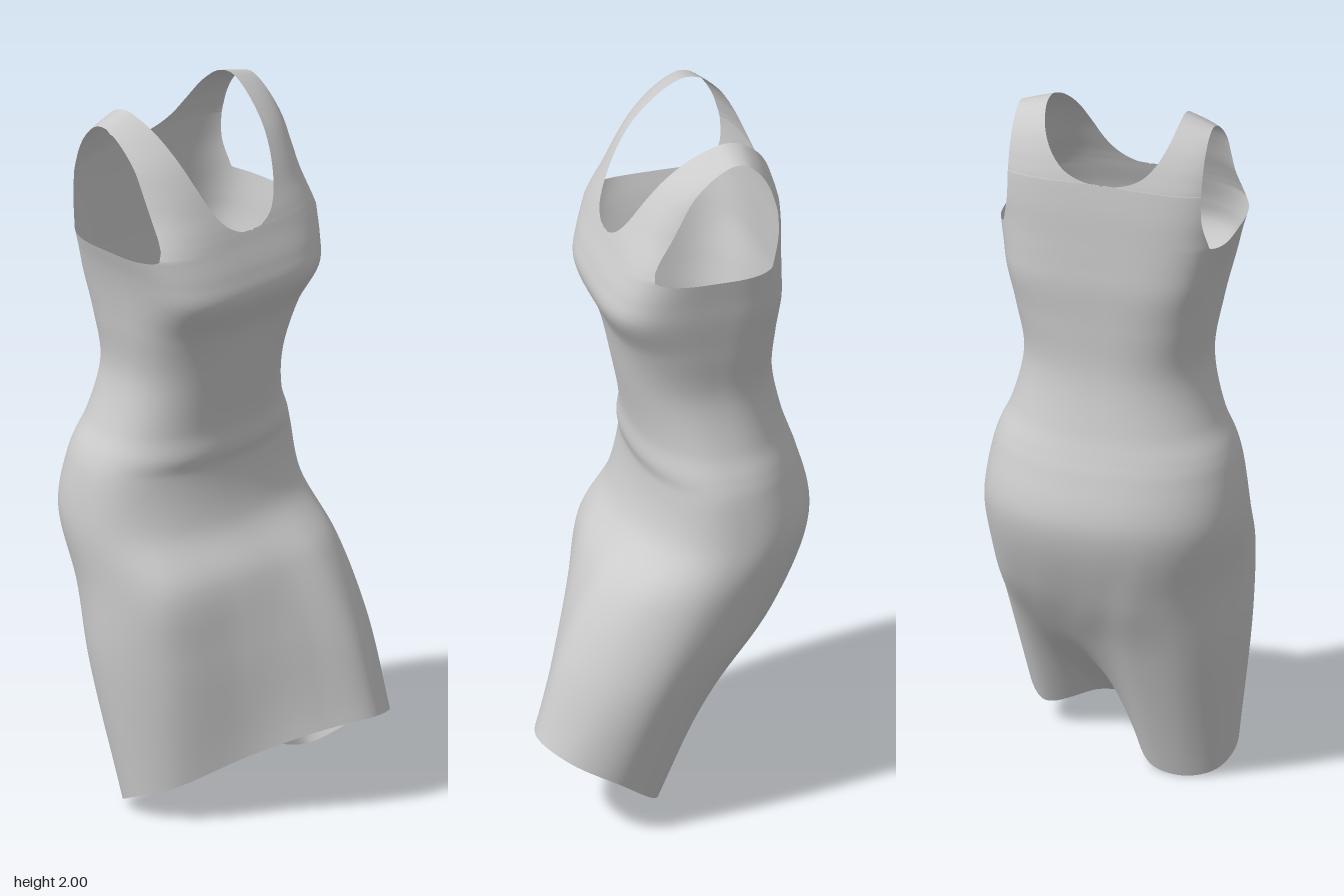
import * as THREE from 'three';
import { mergeGeometries, mergeVertices } from 'three/addons/utils/BufferGeometryUtils.js';

const AROUND = 192, DOWN = 100;     // columns around the body, rows down it
const EDGE = 30;                    // column where the armhole begins
const RIM = 1.66, CX = -0.018, CHEST = 0.32, P = 0.55;
const V = (x, y, z) => new THREE.Vector3(x, y, z);
const angleOf = (i) => (i / AROUND) * Math.PI * 2;

// Sections from armhole to hip: y, centre x, half width, widest z, front z, back z, squareness
const SECTIONS = [
  [RIM, CX, CHEST, -0.08, 0.157, -0.30, P],
  [1.585, -0.012, 0.305, -0.08, 0.185, -0.303, 0.55],
  [1.52, -0.008, 0.293, -0.08, 0.197, -0.305, 0.56],
  [1.4, -0.008, 0.273, -0.09, 0.145, -0.30, 0.7],
  [1.25, -0.01, 0.255, -0.10, 0.113, -0.30, 0.85],
  [1.1, -0.015, 0.29, -0.12, 0.085, -0.33, 0.9],
  [1.03, -0.018, 0.323, -0.13, 0.086, -0.353, 0.9],
  [0.98, -0.018, 0.34, -0.13, 0.077, -0.37, 0.9],
  [0.83, -0.015, 0.361, -0.13, 0.112, -0.4, 0.9],
];

// Skirt at seat, thigh and hem, one leg striding forward;
// the points lie at these angles, from the front towards +x
const ANGLES = [25, 55, 88, 130, 155, 175, 190, 205, 225, 248, 272, 310, 335, 360, 385];
const SEAT = [
  [0.18, 0.7, 0.21], [0.31, 0.69, 0.13], [0.365, 0.66, 0], [0.3, 0.6, -0.19],
  [0.17, 0.6, -0.285], [0.04, 0.6, -0.32], [-0.04, 0.6, -0.33], [-0.13, 0.6, -0.33],
  [-0.24, 0.61, -0.29], [-0.33, 0.63, -0.2], [-0.368, 0.66, -0.07], [-0.31, 0.68, 0.11],
  [-0.12, 0.7, 0.19], [0.04, 0.7, 0.21],
];
const THIGH = [
  [0.2, 0.5, 0.32], [0.33, 0.48, 0.23], [0.375, 0.45, 0.11], [0.3, 0.4, -0.05],
  [0.19, 0.4, -0.13], [0.09, 0.4, -0.18], [0, 0.4, -0.215], [-0.1, 0.4, -0.248],
  [-0.23, 0.4, -0.235], [-0.32, 0.42, -0.17], [-0.36, 0.45, -0.05], [-0.3, 0.48, 0.12],
  [-0.12, 0.5, 0.225], [0.05, 0.51, 0.29],
];
const HEM = [
  [0.2, 0.27, 0.4], [0.31, 0.24, 0.34], [0.35, 0.18, 0.22], [0.26, 0.07, 0.08],
  [0.1, 0.12, 0.09], [0.02, 0.13, 0.06], [-0.03, 0.06, -0.02], [-0.1, 0.01, -0.095],
  [-0.2, 0, -0.11], [-0.28, 0.02, -0.08], [-0.31, 0.06, 0], [-0.27, 0.105, 0.105],
  [-0.1, 0.195, 0.235], [0.05, 0.255, 0.345],
];

// Yoke from front over the shoulder to back: y, z, wrap depth, inner and outer half width
const YOKE_EDGE = CHEST * Math.sin(angleOf(EDGE)) ** P;
const YOKE = [
  [RIM, 0.157, 0.237, 0, YOKE_EDGE], [1.685, 0.148, 0.26, 0, 0.28], [1.69, 0.146, 0.265, 0.035, 0.279],
  [1.715, 0.136, 0.3, 0.08, 0.275], [1.76, 0.115, 0.35, 0.113, 0.272], [1.83, 0.08, 0.34, 0.14, 0.272],
  [1.9, 0.03, 0.26, 0.16, 0.272], [1.96, -0.04, 0.17, 0.175, 0.272], [1.993, -0.105, 0.08, 0.186, 0.272],
  [2.0, -0.14, 0.03, 0.188, 0.272], [1.99, -0.185, -0.03, 0.187, 0.272], [1.95, -0.235, -0.1, 0.175, 0.272],
  [1.9, -0.265, -0.13, 0.15, 0.272], [1.86, -0.28, -0.15, 0.115, 0.272], [1.84, -0.286, -0.155, 0.08, 0.272],
  [1.828, -0.289, -0.16, 0.035, 0.272], [1.825, -0.29, -0.16, 0, 0.272], [1.74, -0.297, -0.18, 0, 0.274],
  [RIM, -0.30, -0.22, 0, YOKE_EDGE],
];

function sectionPoint([y, cx, a, zc, zf, zb, p], i) {
  const s = Math.sin(angleOf(i)), c = Math.cos(angleOf(i));
  const bend = (v) => Math.sign(v) * Math.abs(v) ** p;
  return V(cx + a * bend(s), y, zc + bend(c) * (c > 0 ? zf - zc : zc - zb));
}

// Position along a skirt ring that belongs to column i
function ringParameter(i) {
  const deg = (i / AROUND) * 360, d = deg < ANGLES[0] ? deg + 360 : deg;
  const k = ANGLES.findIndex((a, n) => d < ANGLES[n + 1]);
  return (k + (d - ANGLES[k]) / (ANGLES[k + 1] - ANGLES[k])) / (ANGLES.length - 1);
}

// Surface through neighbouring columns, each a smooth curve
function loft(columns, count, flip) {
  const points = columns.flatMap((pts) => {
    const curve = new THREE.CatmullRomCurve3(pts);
    return Array.from({ length: count + 1 }, (_, j) => curve.getPoint(j / count));
  });
  const index = [], h = count + 1;
  for (let i = 0; i < columns.length - 1; i++) {
    for (let j = 0; j < count; j++) {
      const a = i * h + j, b = a + h, c = a + 1, d = b + 1;
      index.push(...(flip ? [a, b, c, b, d, c] : [a, c, b, b, c, d]));
    }
  }
  return new THREE.BufferGeometry().setFromPoints(points).setIndex(index);
}

// Body and skirt, with the rim dipping a little under each arm
function bodyGeometry() {
  const skirt = [SEAT, THIGH, HEM].map((ring) =>
    new THREE.CatmullRomCurve3(ring.map((p) => V(...p)), true));
  const columns = Array.from({ length: AROUND + 1 }, (_, n) => {
    const i = n % AROUND, t = ringParameter(i), m = i % (AROUND / 2);
    const pts = SECTIONS.map((section) => sectionPoint(section, i));
    const u = (m - EDGE) / (AROUND / 2 - 2 * EDGE);
    if (u > 0 && u < 1) pts[0].y -= 0.012 * Math.sqrt(Math.sin(u * Math.PI));
    return pts.concat(skirt.map((ring) => ring.getPoint(t)));
  });
  return loft(columns, DOWN, false);
}

// One half of the chest, shoulder strap and upper back, rising from the body's rim
function yokeGeometry(side) {
  const n = 2 / P;
  const columns = Array.from({ length: EDGE + 1 }, (_, i) => {
    const s = (Math.sin(angleOf(i)) / Math.sin(angleOf(EDGE))) ** P;
    return YOKE.map(([y, z, depth, xi, xo]) => {
      const x = xi + (xo - xi) * s;
      const drop = 1 - (1 - (x / CHEST) ** n) ** (1 / n);
      const slope = 0.1 * s * Math.max(0, y - 1.75);
      return V(CX + side * x, y - slope, z - depth * drop);
    });
  });
  return loft(columns, (YOKE.length - 1) * 5, side > 0);
}

export function createModel() {
  const cloth = new THREE.MeshStandardMaterial({ color: 0xcccccc, side: THREE.DoubleSide });
  const parts = [bodyGeometry(), yokeGeometry(1), yokeGeometry(-1)];
  // Weld the parts so that the cloth is smooth across the seams
  const geometry = mergeVertices(mergeGeometries(parts), 1e-4);
  geometry.computeVertexNormals();
  const fabric = new THREE.Mesh(geometry, cloth);
  fabric.name = 'dressFabric';
  const dress = new THREE.Group();
  dress.name = 'dress';
  dress.add(fabric);
  return dress;
}
